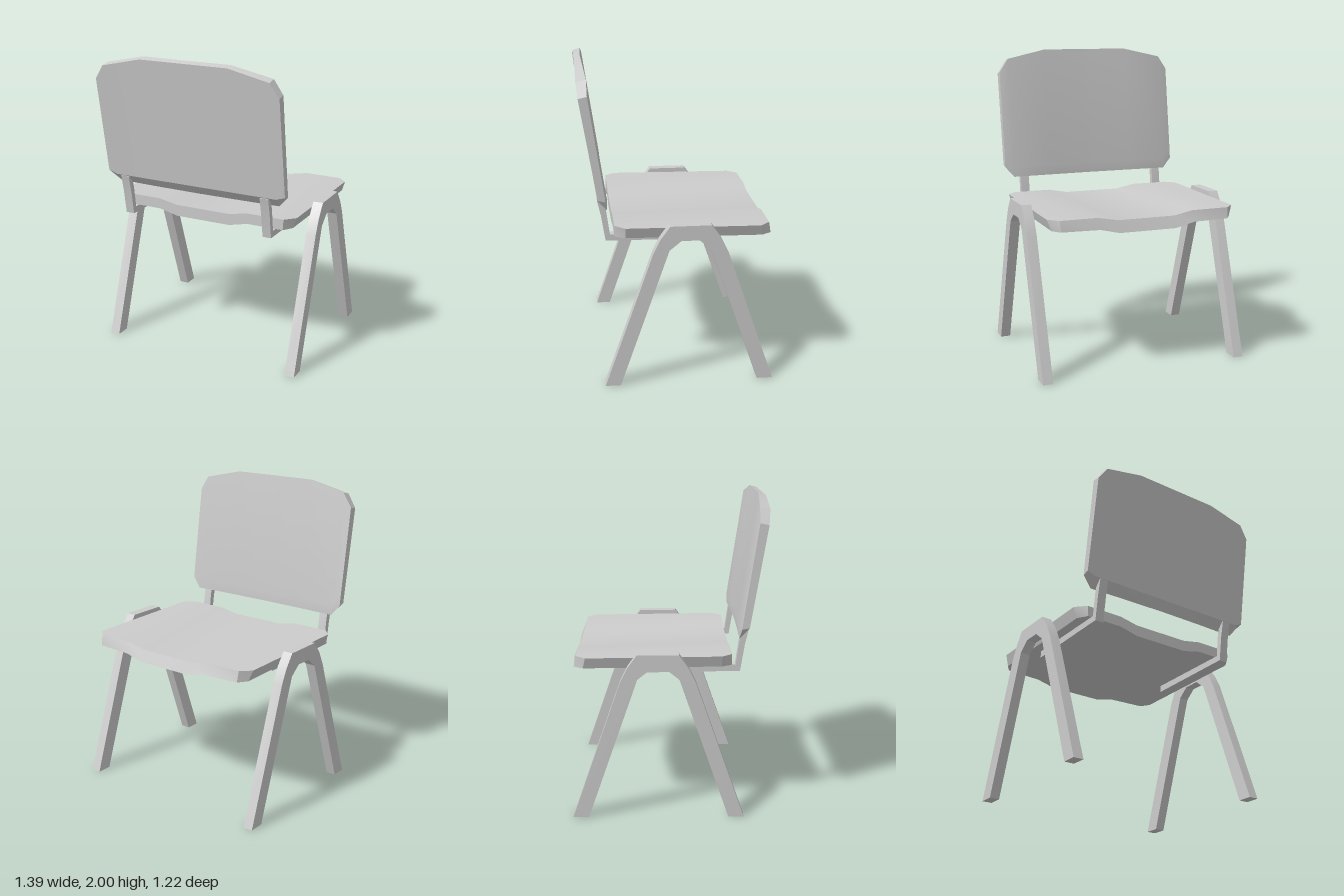
import * as THREE from 'three';
import { toCreasedNormals } from 'three/addons/utils/BufferGeometryUtils.js';

const material = new THREE.MeshStandardMaterial({ color: 0xcccccc });

function addMesh(group, name, geometry) {
  const mesh = new THREE.Mesh(toCreasedNormals(geometry, 0.5), material);
  mesh.name = name;
  group.add(mesh);
  return mesh;
}

// Loft closed rings (counter-clockwise seen from +x) placed along x, with end caps
function loft(rings) {
  const n = rings[0].length;
  const positions = rings.flat(2);
  const index = [];
  for (let i = 0; i < rings.length - 1; i++) {
    for (let j = 0; j < n; j++) {
      const a = i * n + j, b = i * n + (j + 1) % n;
      index.push(a, b, b + n, a, b + n, a + n);
    }
  }
  const last = (rings.length - 1) * n;
  for (let k = 1; k < n - 1; k++) {
    index.push(0, k + 1, k, last, last + k, last + k + 1);
  }
  const geometry = new THREE.BufferGeometry();
  geometry.setAttribute('position', new THREE.Float32BufferAttribute(positions, 3));
  geometry.setIndex(index);
  return geometry;
}

// Mirror half of the stations (centre to edge) into a full set from -x to +x
function mirrored(half, ring) {
  const right = half.map((s) => ring(s, 1));
  const left = half.map((s) => ring(s, -1)).reverse();
  return loft([...left, ...right]);
}

// Extrude a side profile of [z, y] points across a width in x, starting at x0
function sideBar(points, x0, width) {
  const shape = new THREE.Shape(points.map(([z, y]) => new THREE.Vector2(-z, y)));
  const geometry = new THREE.ExtrudeGeometry(shape, { depth: width, bevelEnabled: false });
  return geometry.rotateY(Math.PI / 2).translate(x0, 0, 0);
}

export function createModel() {
  const chair = new THREE.Group();
  chair.name = 'chair';

  // Seat: shallow dip along the middle, clipped corners, sloping front edge
  const seatStations = [
    { x: 0.19, xb: 0.19, top: 1.005, bottom: 0.93, back: 0.395, front: -0.58, lip: -0.61 },
    { x: 0.32, xb: 0.32, top: 1.03, bottom: 0.96, back: 0.395, front: -0.58, lip: -0.608 },
    { x: 0.57, xb: 0.565, top: 1.03, bottom: 0.96, back: 0.395, front: -0.578, lip: -0.59 },
    { x: 0.632, xb: 0.607, top: 1.03, bottom: 0.96, back: 0.33, front: -0.515, lip: -0.53 },
  ];
  addMesh(chair, 'seat', mirrored(seatStations, (s, side) => [
    [side * s.xb, s.bottom, s.back],
    [side * s.xb, s.bottom - 0.01, s.lip],
    [side * s.x, s.top - 0.01, s.front],
    [side * s.x, s.top, s.back],
  ]));

  // Backrest: leaning panel, gently hollow in front, with clipped corners
  const backStations = [
    { x: 0.02, low: 1.13, high: 2.0, hollow: 0.012 },
    { x: 0.3, low: 1.13, high: 2.0, hollow: 0.008 },
    { x: 0.57, low: 1.13, high: 1.94, hollow: 0 },
    { x: 0.63, low: 1.2, high: 1.85, hollow: 0.012 },
  ];
  const frontZ = (y) => 0.437 + Math.max(0, y - 1.21) * 0.15;
  const backrest = addMesh(chair, 'backrest', mirrored(backStations, (s, side) => {
    const x = side * s.x;
    const knee = s.low + 0.07;
    return [
      [x, Math.max(1.19, s.low + 0.01), 0.495],
      [x, s.low, frontZ(s.low) + s.hollow],
      [x, knee, frontZ(knee) + s.hollow],
      [x, s.high, frontZ(s.high) + s.hollow],
      [x, s.high - 0.012, Math.min(0.609, 0.495 + (s.high - 1.19) * 0.158)],
    ];
  }));
  backrest.position.x = -0.01;

  // Bent support bars running under the seat and up behind the backrest
  const barProfile = [
    [0.498, 1.185], [0.474, 1.08], [0.448, 0.915], [-0.195, 0.905],
    [-0.195, 0.95], [0.42, 0.955], [0.44, 1.1], [0.46, 1.185],
  ];
  // Side frames: one bent flat bar forms the front and back leg
  const legProfile = [
    [0.474, 0], [0.167, 0.88], [0.122, 0.972], [0.062, 1.055], [-0.195, 1.055],
    [-0.255, 0.972], [-0.3, 0.88], [-0.602, 0], [-0.503, 0],
    [-0.193, 0.9], [-0.12, 0.96], [-0.008, 0.96], [0.066, 0.9], [0.377, 0],
  ];
  for (const [label, side] of [['left', 1], ['right', -1]]) {
    addMesh(chair, label + 'SupportBar', sideBar(barProfile, side * 0.5 - 0.047, 0.058));
    addMesh(chair, label + 'LegFrame', sideBar(legProfile, side * 0.664 - 0.033, 0.066));
  }

  return chair;
}
